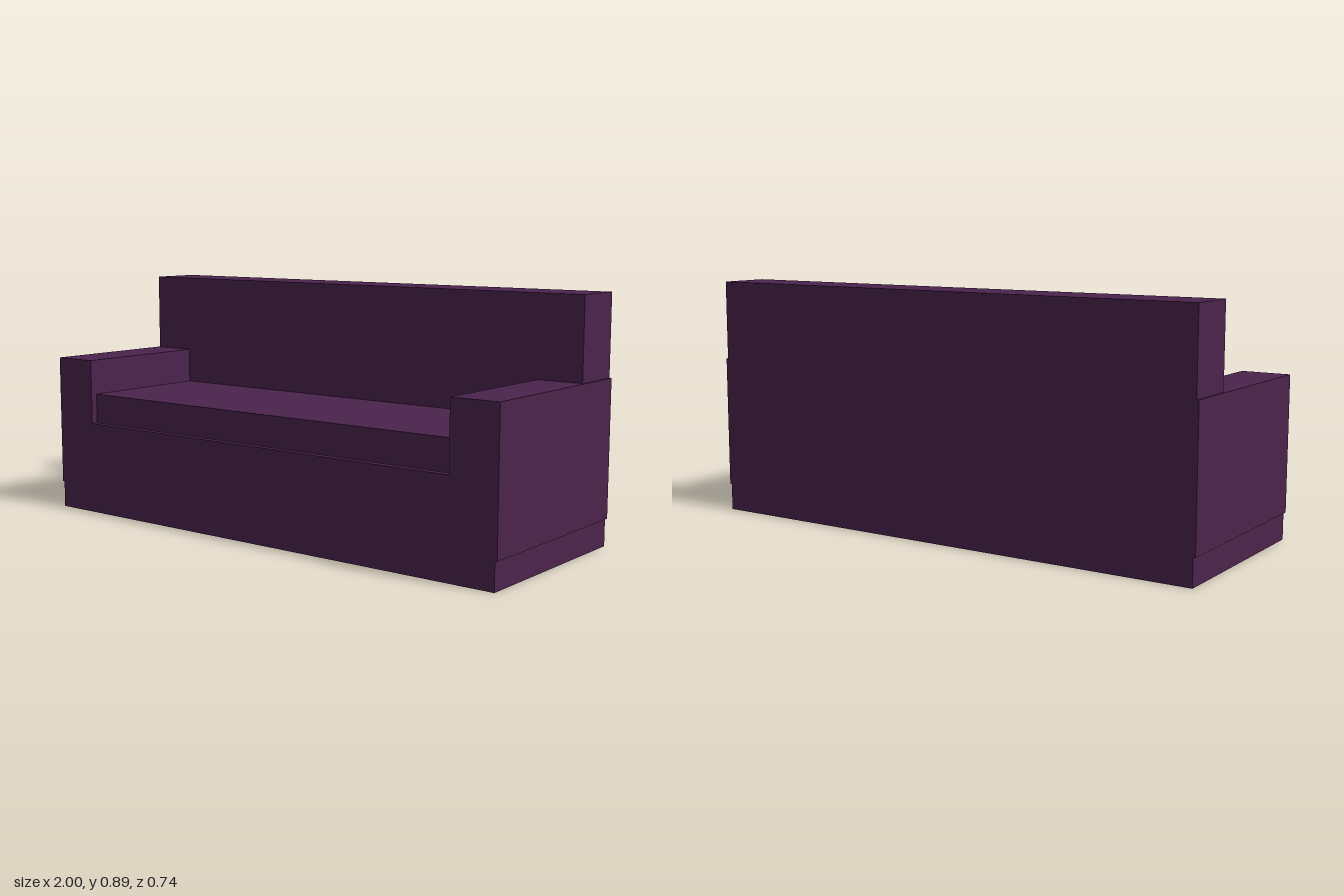
import * as THREE from 'three';

export function createModel() {
  const sofa = new THREE.Group();
  sofa.name = 'sofa';
  const fabric = new THREE.MeshStandardMaterial({ color: 0x4a234c });
  fabric.name = 'plum fabric';

  // Box given by its lower and upper corners
  function addBox(name, [x0, y0, z0], [x1, y1, z1]) {
    const geometry = new THREE.BoxGeometry(x1 - x0, y1 - y0, z1 - z0);
    const mesh = new THREE.Mesh(geometry, fabric);
    mesh.name = name;
    mesh.position.set((x0 + x1) / 2, (y0 + y1) / 2, (z0 + z1) / 2);
    sofa.add(mesh);
  }

  const depth = 0.372; // half the sofa's depth
  const width = 0.992; // half the width of base and backrest

  addBox('base', [-width, 0, -depth], [width, 0.35, depth]);
  addBox('backrest', [-width, 0.35, -depth], [width, 0.893, -0.174]);
  // Cushion set slightly back from the front edge
  addBox('seatCushion', [-0.82, 0.35, -0.174], [0.82, 0.463, 0.347]);
  // Armrests overhang the base a little at the sides
  addBox('leftArmrest', [0.82, 0.1, -depth], [1, 0.596, depth]);
  addBox('rightArmrest', [-1, 0.1, -depth], [-0.82, 0.596, depth]);

  return sofa;
}
